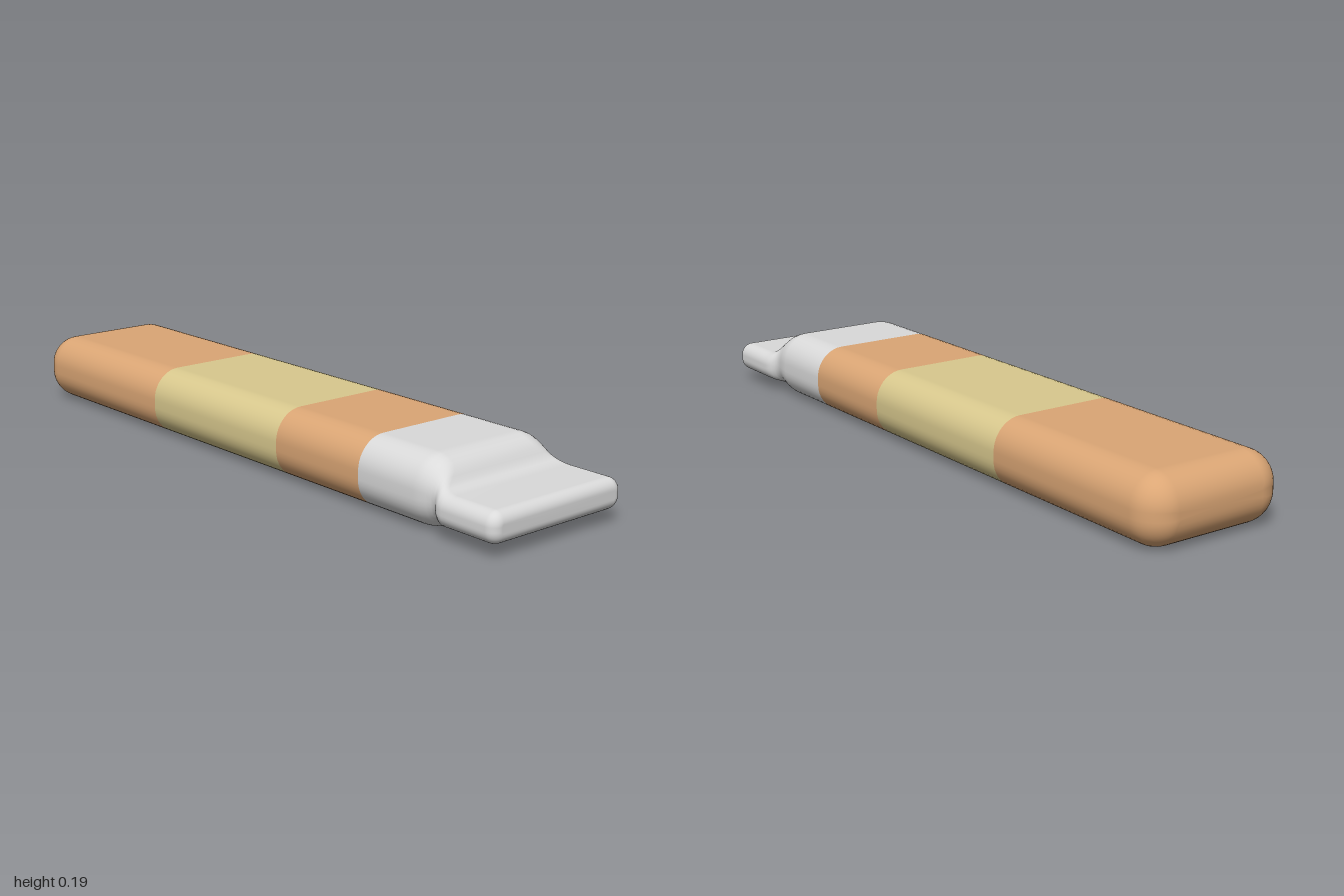
import * as THREE from 'three';

const CORNER_STEPS = 10;

// Rounded-rectangle ring at depth z, counter-clockwise seen from +z
function ring({ z, w, y0, y1, r }) {
  const points = [];
  const corners = [[w - r, y1 - r], [r - w, y1 - r], [r - w, y0 + r], [w - r, y0 + r]];
  corners.forEach(([cx, cy], q) => {
    for (let i = 0; i <= CORNER_STEPS; i++) {
      const a = (q + i / CORNER_STEPS) * Math.PI / 2;
      points.push([cx + r * Math.cos(a), cy + r * Math.sin(a), z]);
    }
  });
  return points;
}

// Skin over sections ordered from back to front, with optional end caps
function loft(sections, capBack, capFront) {
  const n = 4 * (CORNER_STEPS + 1);
  const positions = sections.flatMap(ring).flat();
  const index = [];
  for (let i = 0; i < sections.length - 1; i++) {
    for (let j = 0; j < n; j++) {
      const k = (j + 1) % n;
      const a = i * n + j, b = i * n + k, c = a + n, d = b + n;
      index.push(a, b, d, a, d, c);
    }
  }
  const cap = (s, base, front) => {
    const centre = positions.length / 3;
    positions.push(0, (s.y0 + s.y1) / 2, s.z);
    for (let j = 0; j < n; j++) {
      const k = (j + 1) % n;
      index.push(centre, base + (front ? j : k), base + (front ? k : j));
    }
  };
  if (capBack) cap(sections[0], 0, false);
  if (capFront) cap(sections.at(-1), (sections.length - 1) * n, true);
  const geometry = new THREE.BufferGeometry();
  geometry.setAttribute('position', new THREE.Float32BufferAttribute(positions, 3));
  geometry.setIndex(index);
  geometry.computeVertexNormals();
  return geometry;
}

// Sections that round off an end; dir is +1 for the front, -1 for the back
function roundedEnd(s, endZ, radius, dir) {
  const out = [];
  for (let i = 0; i <= 10; i++) {
    const a = i / 10 * Math.PI / 2;
    const inset = radius * (1 - Math.cos(a));
    out.push({
      z: endZ - dir * radius * (1 - Math.sin(a)),
      w: s.w - inset, y0: s.y0 + inset, y1: s.y1 - inset,
      r: Math.max(s.r - inset, 0.004),
    });
  }
  return dir > 0 ? out : out.reverse();
}

export function createModel() {
  const group = new THREE.Group();
  const material = (name, color) => {
    const m = new THREE.MeshStandardMaterial({ color });
    m.name = name;
    return m;
  };
  const orange = material('orange', 0xdba675);
  const yellow = material('pale yellow', 0xd9c98e);
  const grey = material('light grey', 0xdadada);

  const add = (name, mat, sections, capBack = false, capFront = false) => {
    const mesh = new THREE.Mesh(loft(sections, capBack, capFront), mat);
    mesh.name = name;
    group.add(mesh);
  };

  const bar = { w: 0.221, y0: 0.002, y1: 0.195, r: 0.085 };
  const at = z => ({ ...bar, z });

  // Banded bar with a rounded back end
  add('rearBody', orange, [...roundedEnd(bar, -1, 0.085, -1), at(-0.38)], true);
  add('middleBand', yellow, [at(-0.38), at(0.185)]);
  add('frontBody', orange, [at(0.185), at(0.515)]);

  // Grey shoulder that narrows to a neck
  const neck = [
    [0.515, 0.221, 0.002, 0.195, 0.085],
    [0.715, 0.221, 0.002, 0.195, 0.085],
    [0.735, 0.219, 0.004, 0.193, 0.084],
    [0.755, 0.215, 0.009, 0.186, 0.08],
    [0.77, 0.212, 0.015, 0.177, 0.075],
    [0.783, 0.213, 0.021, 0.164, 0.068],
    [0.792, 0.218, 0.026, 0.150, 0.059],
    [0.80, 0.225, 0.030, 0.138, 0.05],
    [0.81, 0.230, 0.034, 0.129, 0.042],
    [0.825, 0.232, 0.036, 0.124, 0.038],
    [0.845, 0.232, 0.037, 0.122, 0.036],
  ].map(([z, w, y0, y1, r]) => ({ z, w, y0, y1, r }));

  // Thin flat tab with a rounded front edge
  const tab = { w: 0.232, y0: 0.037, y1: 0.122, r: 0.036 };
  add('shoulderAndTab', grey, [...neck, ...roundedEnd(tab, 1, 0.03, 1)], false, true);

  return group;
}
